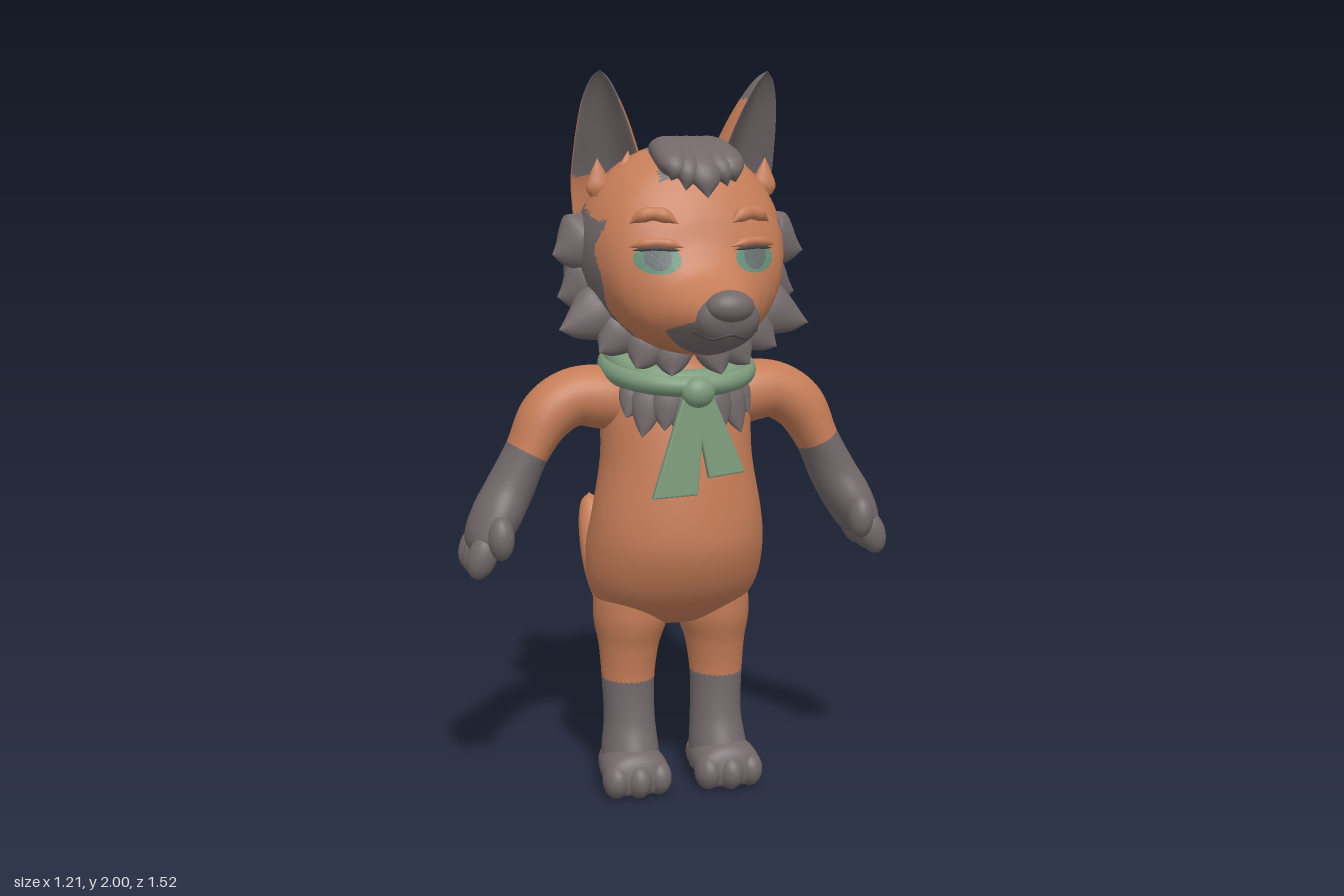
import * as THREE from 'three';

const material = (name, color) => Object.assign(new THREE.MeshStandardMaterial({ color }), { name });
const V = (x, y, z) => new THREE.Vector3(x, y, z);
const X = V(1, 0, 0), Y = V(0, 1, 0), Z = V(0, 0, 1);

// Rows are [x, y, z, side radius, up radius]; both curves share one parameter
function curves(rows) {
  const make = f => new THREE.CatmullRomCurve3(rows.map(f), false, 'catmullrom', 0.5);
  return [make(r => V(r[0], r[1], r[2])), make(r => V(r[3], r[4], 0))];
}

// Smooth elliptical loft; paint(point, cos, sin) picks the second material
function loft(name, mats, rows, { up = Z, axis = null, steps = 40, sides = 32, shape = null, paint = null } = {}) {
  const [path, size] = curves(rows);
  const pos = [], groups = [[], []];
  for (let i = 0; i <= steps; i++) {
    const p = path.getPoint(i / steps), r = size.getPoint(i / steps);
    const t = axis || path.getTangent(i / steps);
    const side = up.clone().cross(t).normalize();
    const u = t.clone().cross(side).normalize();
    for (let j = 0; j < sides; j++) {
      const a = j / sides * Math.PI * 2;
      let c = Math.cos(a), s = Math.sin(a);
      if (shape) [c, s] = shape(c, s);
      const q = p.clone().addScaledVector(side, c * Math.max(0, r.x)).addScaledVector(u, s * Math.max(0, r.y));
      pos.push(q.x, q.y, q.z);
    }
  }
  const at = k => V(pos[k * 3], pos[k * 3 + 1], pos[k * 3 + 2]);
  for (let i = 0; i < steps; i++) for (let j = 0; j < sides; j++) {
    const a = i * sides + j, b = i * sides + (j + 1) % sides, c = a + sides, d = b + sides;
    const ang = (j + 0.5) / sides * Math.PI * 2;
    for (const tri of [[a, b, c], [b, d, c]]) {
      const mid = at(tri[0]).add(at(tri[1])).add(at(tri[2])).divideScalar(3);
      groups[paint && paint(mid, Math.cos(ang), Math.sin(ang)) ? 1 : 0].push(...tri);
    }
  }
  const g = new THREE.BufferGeometry();
  g.setAttribute('position', new THREE.Float32BufferAttribute(pos, 3));
  g.setIndex([...groups[0], ...groups[1]]);
  g.computeVertexNormals();
  if (paint) {
    g.addGroup(0, groups[0].length, 0);
    g.addGroup(groups[0].length, groups[1].length, 1);
  }
  const mesh = new THREE.Mesh(g, mats);
  mesh.name = name;
  return mesh;
}

function ball(name, mat, p, s) {
  const m = new THREE.Mesh(new THREE.SphereGeometry(1, 24, 16), mat);
  m.position.set(...p);
  m.scale.set(...s);
  m.name = name;
  return m;
}

// Pointed lock of fur, flattened along the up direction
function tuft(name, mat, a, b, w, d, up) {
  const mix = (k, sag) => [0, 1, 2].map(i => a[i] + (b[i] - a[i]) * k + (i === 1 ? sag : 0));
  return loft(name, mat, [[...a, w * 0.7, d * 0.7], [...mix(0.35, -0.01), w, d],
    [...mix(0.7, -0.01), w * 0.6, d * 0.6], [...b, 0, 0]], { up, steps: 14, sides: 14 });
}

const HEAD = [
  [0, 1.52, 0, 0, 0], [0, 1.515, 0.01, 0.085, 0.08], [0, 1.515, 0.04, 0.16, 0.155], [0, 1.51, 0.09, 0.215, 0.21],
  [0, 1.515, 0.16, 0.26, 0.257], [0, 1.525, 0.24, 0.283, 0.28], [0, 1.525, 0.32, 0.278, 0.285], [0, 1.51, 0.4, 0.255, 0.262],
  [0, 1.48, 0.46, 0.225, 0.222], [0, 1.445, 0.5, 0.185, 0.183], [0, 1.405, 0.53, 0.15, 0.142], [0, 1.378, 0.57, 0.122, 0.106],
  [0, 1.368, 0.63, 0.102, 0.083], [0, 1.372, 0.69, 0.087, 0.068], [0, 1.383, 0.725, 0.066, 0.046], [0, 1.39, 0.742, 0, 0]];

// Depth of the face surface at (x, y)
const [headPath, headSize] = curves(HEAD);
function faceZ(x, y) {
  for (let i = 500; i > 0; i--) {
    const p = headPath.getPoint(i / 500), r = headSize.getPoint(i / 500);
    if ((x / r.x) ** 2 + ((y - p.y) / r.y) ** 2 <= 1) return p.z;
  }
  return 0.3;
}

// Thin disc wrapped onto the face, cut off at the drooping lid
function facePatch(name, mat, cx, cy, rx, ry, lid, lift) {
  const g = new THREE.RingGeometry(0.001, 1, 36, 6), p = g.attributes.position;
  for (let i = 0; i < p.count; i++) {
    const x = cx + p.getX(i) * rx, y = Math.min(lid, cy + p.getY(i) * ry);
    p.setXYZ(i, x, y, faceZ(x, y) + lift);
  }
  g.computeVertexNormals();
  const m = new THREE.Mesh(g, mat);
  m.name = name;
  return m;
}

export function createModel() {
  const model = new THREE.Group();
  model.name = 'foxCharacter';
  const add = (...m) => model.add(...m);
  const orange = material('orangeFur', 0xc67d58), grey = material('greyFur', 0x72686a);
  const green = material('greenCloth', 0x7c9a7b), eye = material('eyeGreen', 0x669079);
  const iris = material('irisGrey', 0x687270), dark = material('darkLine', 0x4c4446);
  const fur = [orange, grey];

  // Torso and tail
  add(loft('torso', orange, [[0, 0.46, 0.2, 0, 0], [0, 0.485, 0.2, 0.13, 0.09], [0, 0.53, 0.2, 0.205, 0.155],
    [0, 0.6, 0.215, 0.242, 0.2], [0, 0.7, 0.235, 0.25, 0.222], [0, 0.8, 0.255, 0.238, 0.204], [0, 0.95, 0.25, 0.213, 0.188],
    [0, 1.08, 0.24, 0.21, 0.17], [0, 1.17, 0.235, 0.19, 0.15], [0, 1.23, 0.235, 0.145, 0.125], [0, 1.32, 0.25, 0.1, 0.1]],
  { axis: Y, sides: 48 }));
  add(loft('tail', orange, [[0, 0.63, 0.09, 0.06, 0.055], [0, 0.565, -0.03, 0.075, 0.063], [0, 0.46, -0.18, 0.076, 0.065],
    [0, 0.39, -0.38, 0.076, 0.064], [0, 0.445, -0.57, 0.066, 0.06], [0, 0.545, -0.68, 0.052, 0.05],
    [0, 0.625, -0.73, 0.032, 0.032], [0, 0.655, -0.742, 0, 0]], { up: X }));

  // Head with grey mane, crown stripe and muzzle
  add(loft('head', fur, HEAD, {
    up: Y, axis: Z, steps: 150, sides: 112, paint: p => {
      if (p.z > 0.7 || (p.z > 0.55 && p.y < 1.335 + (p.z - 0.55) * 0.25)) return true;
      if (p.y > 1.61) return p.z < 0.13 + Math.max(0, 1.68 - p.y) * 3.4 || (Math.abs(p.x) < 0.1 && p.z < 0.44);
      return p.z < 0.39 + 0.012 * Math.sin(p.y * 40);
    }
  }));
  add(ball('nose', grey, [0, 1.408, 0.715], [0.063, 0.042, 0.045]));
  const smile = [-0.085, -0.045, 0, 0.045, 0.085].map((x, i) => {
    const y = [1.345, 1.328, 1.338, 1.328, 1.345][i];
    return [x, y, faceZ(x, y), 0.004, 0.004];
  });
  add(loft('mouthLine', dark, smile, { sides: 8 }));

  // Forelock
  for (const [x, tipX, tipY, tipZ, w] of [[0, 0, 1.67, 0.53, 0.06], [-0.055, -0.09, 1.715, 0.5, 0.05],
    [0.055, 0.085, 1.71, 0.5, 0.05], [-0.03, -0.055, 1.69, 0.515, 0.045], [0.03, 0.06, 1.7, 0.51, 0.045]]) {
    add(loft('forelock', grey, [[x * 0.6, 1.76, 0.2, 0.03, 0.02], [x * 0.9, 1.79, 0.32, w, 0.037], [x * 1.2, 1.775, 0.42, w, 0.037],
      [(x * 1.2 + tipX) / 2, (1.78 + tipY) / 2, (0.45 + tipZ) / 2 + 0.015, w * 0.75, 0.03], [tipX, tipY, tipZ, 0, 0]],
    { up: V(0, 1, 0.7), steps: 24, sides: 20 }));
  }

  for (const s of [1, -1]) {
    // Cupped ears with grey lining and tips
    add(loft('ear', fur, [[0.185, 1.6, 0.22, 0.095, 0.095], [0.19, 1.71, 0.235, 0.1, 0.1], [0.207, 1.82, 0.265, 0.08, 0.085],
      [0.222, 1.91, 0.29, 0.055, 0.058], [0.23, 1.97, 0.31, 0.028, 0.03], [0.232, 2, 0.322, 0, 0]].map(r => [r[0] * s, ...r.slice(1)]), {
      up: V(0.35 * s, 0, 1), steps: 50, sides: 48, shape: (c, t) => [c, t > 0 ? t * (0.55 - 0.9 * t) : t],
      paint: (p, c, t) => p.y > 1.925 || (t > 0.2 && p.y > 1.72)
    }));
    add(tuft('earTuft', orange, [0.17 * s, 1.68, 0.32], [0.15 * s, 1.79, 0.3], 0.035, 0.02, Z));
    add(tuft('earTuft', orange, [0.23 * s, 1.67, 0.3], [0.235 * s, 1.77, 0.3], 0.035, 0.02, Z));

    // Eyes, lids and brows
    const ex = 0.132 * s;
    add(facePatch('eyeWhite', eye, ex, 1.515, 0.058, 0.038, 1.54, 0.005));
    add(facePatch('iris', iris, ex, 1.52, 0.034, 0.034, 1.539, 0.008));
    const arc = (y, h, w, r) => [-1, -0.5, 0, 0.5, 1].map(k => {
      const x = ex + k * w, yy = y + h * (1 - k * k);
      return [x, yy, faceZ(x, yy) + 0.005, Math.abs(k) === 1 ? 0 : r, Math.abs(k) === 1 ? 0 : r];
    });
    add(loft('eyelid', orange, arc(1.545, 0.012, 0.068, 0.012), { sides: 12 }));
    add(loft('lashLine', dark, arc(1.537, 0.005, 0.06, 0.006), { sides: 8 }));
    add(loft('brow', orange, arc(1.605, 0.025, 0.06, 0.018), { sides: 14 }));

    // Cheek mane and chin ruff
    for (const [a, b, w] of [
      [[0.22, 1.58, 0.25], [0.355, 1.515, 0.28], 0.085], [[0.23, 1.55, 0.2], [0.32, 1.57, 0.25], 0.06],
      [[0.2, 1.47, 0.25], [0.338, 1.4, 0.26], 0.085], [[0.18, 1.4, 0.3], [0.352, 1.32, 0.34], 0.075],
      [[0.2, 1.48, 0.17], [0.3, 1.4, 0.17], 0.08], [[0.15, 1.36, 0.32], [0.25, 1.26, 0.37], 0.07],
      [[0.1, 1.32, 0.36], [0.16, 1.22, 0.41], 0.06], [[0.05, 1.3, 0.38], [0.07, 1.2, 0.44], 0.055]]) {
      add(tuft('maneTuft', grey, [a[0] * s, a[1], a[2]], [b[0] * s, b[1], b[2]], w, w * 0.7, V(0.4 * s, 0, 1)));
    }
    // Chest fur
    for (const [x, y, z, w] of [[0.14, 1.03, 0.4, 0.045], [0.175, 1.08, 0.365, 0.04], [0.085, 1.05, 0.425, 0.045], [0.03, 1.0, 0.435, 0.045]]) {
      add(tuft('chestTuft', grey, [x * 0.75 * s, 1.19, z - 0.04], [x * s, y, z], w, 0.026, V(0.4 * s, 0, 1)));
    }

    // Arms and paws
    add(loft('arm', fur, [[0.12, 1.1, 0.23, 0.08, 0.09], [0.2, 1.12, 0.23, 0.088, 0.095], [0.29, 1.122, 0.23, 0.08, 0.088],
      [0.365, 1.075, 0.235, 0.075, 0.084], [0.42, 0.98, 0.237, 0.06, 0.08], [0.47, 0.88, 0.24, 0.066, 0.08],
      [0.515, 0.8, 0.25, 0.066, 0.095], [0.55, 0.73, 0.255, 0.05, 0.085], [0.565, 0.69, 0.255, 0, 0]].map(r => [r[0] * s, ...r.slice(1)]),
    { steps: 60, paint: p => Math.abs(p.x) > 0.3 && p.y < 0.95 + (Math.abs(p.x) - 0.37) * 0.6 }));
    for (const z of [0.185, 0.25, 0.315]) {
      const f = ball('finger', grey, [0.56 * s, 0.715, z], [0.04, 0.066, 0.037]);
      f.rotation.z = 0.35 * s;
      add(f);
    }
    add(ball('thumb', grey, [0.515 * s, 0.765, 0.342], [0.036, 0.06, 0.042]));

    // Legs and feet
    add(loft('leg', fur, [[0.115, 0.63, 0.2, 0.1, 0.13], [0.12, 0.5, 0.203, 0.104, 0.125], [0.127, 0.41, 0.21, 0.084, 0.095],
      [0.13, 0.31, 0.214, 0.074, 0.078], [0.128, 0.2, 0.22, 0.072, 0.083], [0.13, 0.11, 0.235, 0.08, 0.1],
      [0.13, 0.04, 0.24, 0.08, 0.1]].map(r => [r[0] * s, ...r.slice(1)]),
    { axis: V(0, -1, 0), steps: 100, paint: p => p.y < 0.32 }));
    add(loft('foot', grey, [[0.13, 0.06, 0.13, 0, 0], [0.13, 0.062, 0.15, 0.065, 0.06], [0.132, 0.07, 0.22, 0.085, 0.068],
      [0.134, 0.07, 0.3, 0.094, 0.068], [0.134, 0.06, 0.35, 0.08, 0.055], [0.134, 0.05, 0.375, 0, 0]].map(r => [r[0] * s, ...r.slice(1)]),
    { up: Y, axis: Z, shape: (c, t) => [c, Math.max(t, -0.85)] }));
    for (const [x, z] of [[0.073, 0.325], [0.134, 0.34], [0.195, 0.325]]) {
      add(ball('toe', grey, [x * s, 0.053, z], [0.037, 0.05, 0.05]));
    }
  }

  // Neckerchief: two tilted wraps, a knot and two hanging ends
  for (const [lift, grow] of [[0, 0], [0.04, -0.015]]) {
    const ring = [];
    for (let i = 0; i <= 24; i++) {
      const a = i / 24 * Math.PI * 2, f = (1 - Math.cos(a)) / 2;
      ring.push([Math.sin(a) * (0.183 + grow), 1.235 + lift - 0.065 * f - lift * f * 0.7, 0.253 - Math.cos(a) * (0.175 + grow),
        0.036, 0.042 - 0.012 * f]);
    }
    add(loft('scarfWrap', green, ring, { up: Y, steps: 72, sides: 18 }));
  }
  add(ball('scarfKnot', green, [0, 1.155, 0.45], [0.046, 0.042, 0.035]));
  for (const pts of [[[-0.035, 1.15], [0.015, 1.13], [-0.01, 0.885], [-0.125, 0.88]], [[-0.01, 1.14], [0.035, 1.15], [0.122, 0.94], [0.03, 0.93]]]) {
    const shape = new THREE.Shape(pts.map(p => new THREE.Vector2(p[0], p[1])));
    const g = new THREE.ExtrudeGeometry(shape, { depth: 0.012, bevelSize: 0.005, bevelThickness: 0.005, bevelSegments: 2 });
    const p = g.attributes.position;
    for (let i = 0; i < p.count; i++) p.setZ(i, p.getZ(i) + 0.44 + (1.15 - p.getY(i)) * 0.07);
    g.computeVertexNormals();
    const end = new THREE.Mesh(g, green);
    end.name = 'scarfEnd';
    add(end);
  }
  return model;
}
